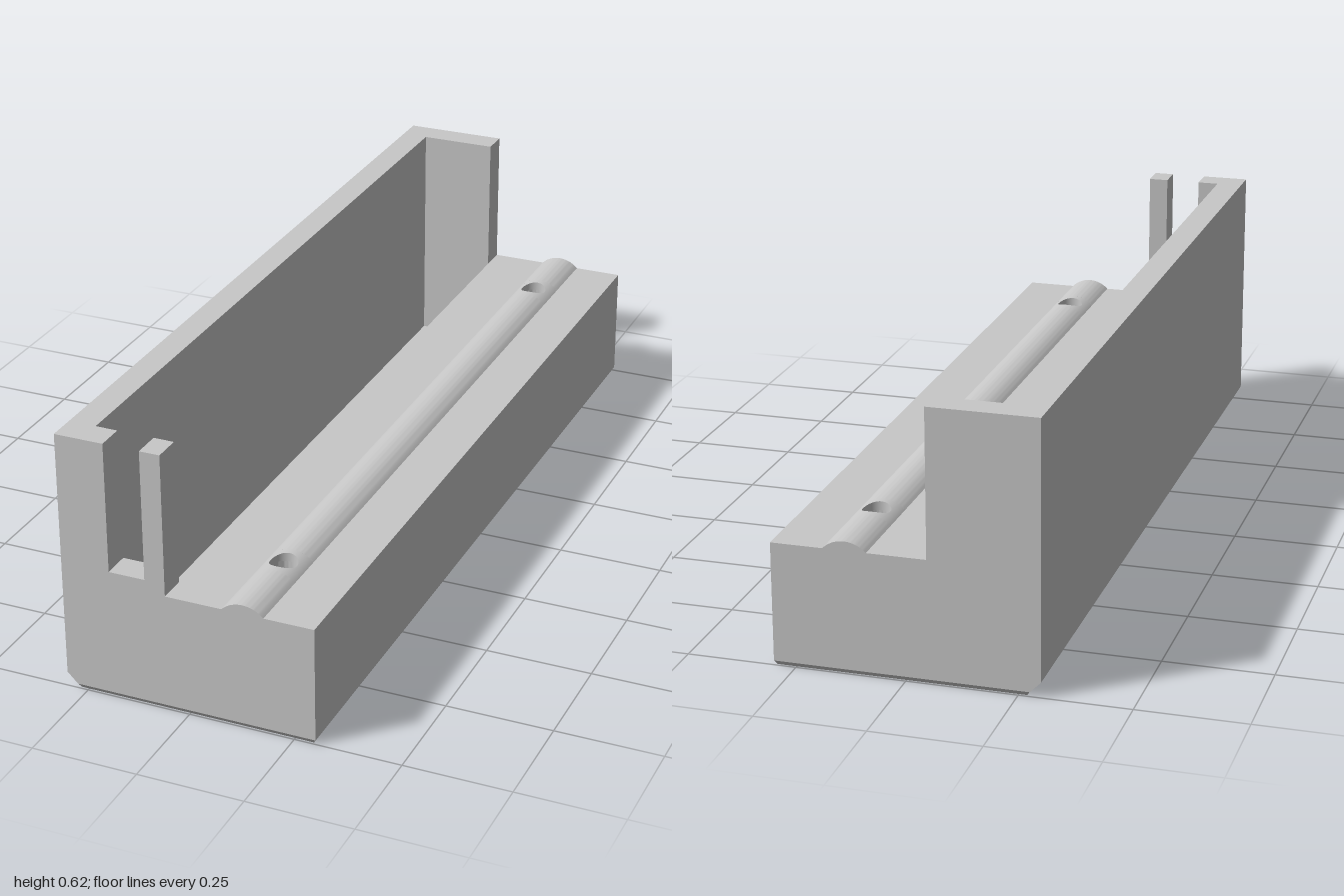
import * as THREE from 'three';
import { toCreasedNormals } from 'three/addons/utils/BufferGeometryUtils.js';
import { ParametricGeometry } from 'three/addons/geometries/ParametricGeometry.js';

const HX = 0.3, HZ = 1;              // half width and half length
const DECK = 0.285, TOP = 0.625;     // deck height and wall height
const FLOOR = 0.065;                 // trough floor
const INNER = -0.236, EDGE = -0.05, END = 0.933; // trough limits
const BOLT_X = 0.133, BOLT_Z = [-0.79, 0.79], BOLT_R = 0.032, BORE_R = 0.058, BORE_TOP = 0.15;
const RIDGE_W = 0.049, RIDGE_H = 0.021;
const RIDGE_R = (RIDGE_W ** 2 + RIDGE_H ** 2) / (2 * RIDGE_H);

// Plan points are [x, z], listed clockwise from above; shapes run the other way
const toPoints = (pts) => pts.map(([x, z]) => new THREE.Vector2(x, -z)).reverse();
const rect = (x0, x1, z0, z1) => [[x0, z0], [x1, z0], [x1, z1], [x0, z1]];

// Height of the rounded ridge at x
const ridgeY = (x) => {
  const d = Math.min(Math.abs(x - BOLT_X), RIDGE_W);
  return DECK + Math.sqrt(RIDGE_R ** 2 - d * d) - (RIDGE_R - RIDGE_H);
};

export function createModel() {
  const group = new THREE.Group();
  const grey = new THREE.MeshStandardMaterial({ color: 0xc8c8c8 });
  grey.name = 'grey';

  const add = (name, geometry) => {
    const mesh = new THREE.Mesh(geometry, grey);
    mesh.name = name;
    group.add(mesh);
  };

  // Horizontal slab from a plan outline, with bolt holes and an optional trough
  const slab = (name, outline, y0, y1, { holeR = 0, trough = false, bend = null } = {}) => {
    const shape = new THREE.Shape(toPoints(outline));
    if (holeR) {
      for (const z of BOLT_Z) shape.holes.push(new THREE.Path().absarc(BOLT_X, -z, holeR, 0, Math.PI * 2, true));
    }
    if (trough) shape.holes.push(new THREE.Path(toPoints(rect(INNER, EDGE, -END, END))));
    const g = new THREE.ExtrudeGeometry(shape, { depth: y1 - y0, bevelEnabled: false, curveSegments: 40 });
    g.rotateX(-Math.PI / 2).translate(0, y0, 0);
    if (bend) {
      const p = g.attributes.position;
      for (let i = 0; i < p.count; i++) bend(p, i);
    }
    add(name, toCreasedNormals(g, 0.5));
  };

  // Bottom chamfers: wide on the left edge, narrow all round
  const chamfer = (p, i) => {
    const x = p.getX(i), y = p.getY(i), z = p.getZ(i);
    const inset = 0.6 * Math.max(0, 0.01 - y);
    if (x < -HX + 0.001) p.setX(i, y < 0.005 ? -0.268 : -HX + Math.max(0, 0.035 - y));
    if (x > HX - 0.001) p.setX(i, HX - inset);
    if (Math.abs(z) > HZ - 0.001) p.setZ(i, Math.sign(z) * (HZ - inset));
  };

  // Base block in layers
  const full = rect(-HX, HX, -HZ, HZ);
  slab('baseFoot', full, 0, 0.01, { holeR: BORE_R, bend: chamfer });
  slab('baseChamfer', full, 0.01, 0.035, { holeR: BORE_R, bend: chamfer });
  slab('troughFloor', full, 0.035, FLOOR, { holeR: BORE_R });
  slab('lowerBlock', full, FLOOR, BORE_TOP, { holeR: BORE_R, trough: true });
  slab('upperBlock', full, BORE_TOP, DECK, { holeR: BOLT_R, trough: true });

  // Side wall with two end walls, the front one slotted
  const SLOT0 = -0.184, SLOT1 = -0.098, SLOT_Y = 0.315;
  const wall = (frontX) => [
    [-HX, -HZ], [EDGE, -HZ], [EDGE, -END], [INNER, -END],
    [INNER, END], [frontX, END], [frontX, HZ], [-HX, HZ],
  ];
  slab('wallFoot', wall(EDGE), DECK, SLOT_Y);
  slab('wall', wall(SLOT0), SLOT_Y, TOP);
  slab('slotPost', rect(SLOT1, EDGE, END, HZ), SLOT_Y, TOP);

  // Rounded ridge between the bolt holes
  const profile = [];
  for (let i = 0; i <= 24; i++) {
    const x = BOLT_X + RIDGE_W * (1 - i / 12);
    profile.push(new THREE.Vector2(x, ridgeY(x)));
  }
  const b = BOLT_Z[1];
  for (const [z0, z1] of [[-HZ, -b - RIDGE_W], [-b + RIDGE_W, b - RIDGE_W], [b + RIDGE_W, HZ]]) {
    const g = new THREE.ExtrudeGeometry(new THREE.Shape(profile), { depth: z1 - z0, bevelEnabled: false });
    add('ridge', toCreasedNormals(g.translate(0, 0, z0), 0.4));
  }

  // Ridge pieces around each hole: a curved ring from circle to square, and the hole's wall
  for (const z of BOLT_Z) {
    const ring = (u, v, target) => {
      const a = u * Math.PI * 2, c = Math.cos(a), s = Math.sin(a);
      const outer = RIDGE_W / Math.max(Math.abs(c), Math.abs(s));
      const r = THREE.MathUtils.lerp(BOLT_R, outer, v);
      const x = BOLT_X + r * c;
      target.set(x, ridgeY(x), z + r * s);
    };
    add('ridgeHoleRing', new ParametricGeometry(ring, 64, 6));

    const lining = (u, v, target) => {
      const a = u * Math.PI * 2, x = BOLT_X + BOLT_R * Math.cos(a);
      target.set(x, THREE.MathUtils.lerp(DECK, ridgeY(x), v), z + BOLT_R * Math.sin(a));
    };
    add('ridgeHoleLining', new ParametricGeometry(lining, 64, 1));
  }

  return group;
}
